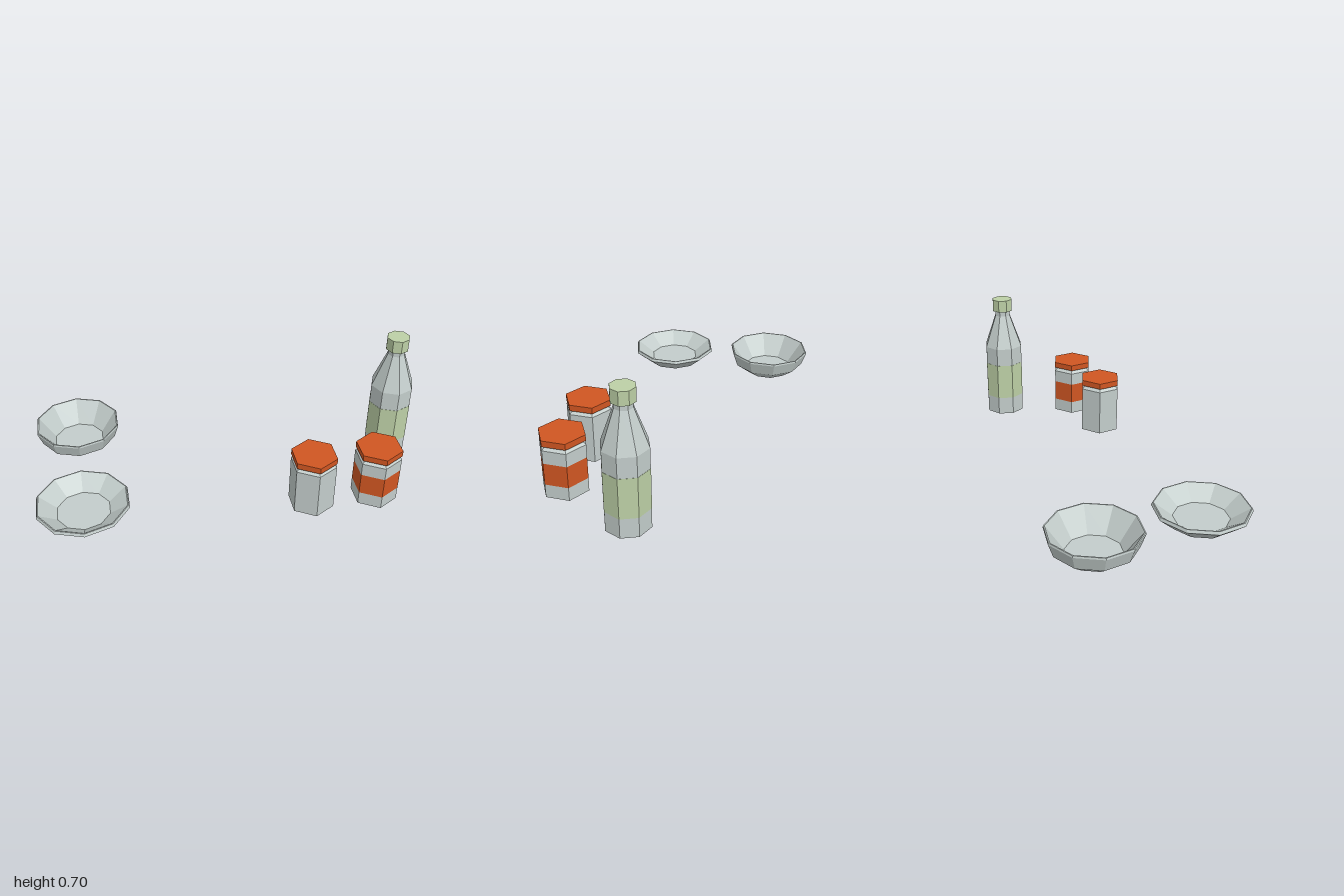
import * as THREE from 'three';

const material = (name, color) => {
  const m = new THREE.MeshStandardMaterial({ color });
  m.name = name;
  return m;
};

// Faceted turned solid from [radius, height] points, running up the outside
function turned(profile, sides) {
  const points = profile.map(([r, y]) => new THREE.Vector2(r, y));
  const pos = new THREE.LatheGeometry(points, sides).toNonIndexed().getAttribute('position');
  const kept = [];
  const tri = new THREE.Triangle();
  for (let i = 0; i < pos.count; i += 3) {
    tri.setFromAttributeAndIndices(pos, i, i + 1, i + 2);
    if (tri.getArea() < 1e-8) continue; // collapsed triangles on the axis
    for (const p of [tri.a, tri.b, tri.c]) kept.push(p.x, p.y, p.z);
  }
  const geometry = new THREE.BufferGeometry();
  geometry.setAttribute('position', new THREE.Float32BufferAttribute(kept, 3));
  geometry.computeVertexNormals();
  return geometry;
}

export function createModel() {
  const model = new THREE.Group();
  model.name = 'tableware';
  const grey = material('pale grey glass', 0xc3cdcb);
  const green = material('soft green', 0xbdd0a6);
  const orange = material('burnt orange', 0xd05622);

  const group = (name, x, z) => {
    const g = new THREE.Group();
    g.name = name;
    g.position.set(x, 0, z);
    model.add(g);
    return g;
  };
  const part = (parent, name, mat, sides, profile) => {
    const mesh = new THREE.Mesh(turned(profile, sides), mat);
    mesh.name = name;
    parent.add(mesh);
  };

  // Bottle: base, label band, tapering neck and cap
  const bottle = group('bottle', 0.886, 0.035);
  part(bottle, 'bottleBase', grey, 8, [[0, 0.007], [0.112, 0.007], [0.112, 0.11]]);
  part(bottle, 'bottleLabel', green, 8, [[0.112, 0.11], [0.113, 0.11], [0.113, 0.317], [0.112, 0.317]]);
  part(bottle, 'bottleNeck', grey, 8, [[0.112, 0.317], [0.112, 0.42], [0.045, 0.606], [0.045, 0.636]]);
  part(bottle, 'bottleCap', green, 8, [[0, 0.635], [0.059, 0.635], [0.059, 0.703], [0, 0.703]]);

  // Jars: one plain, one with a label band
  const R = 0.117;
  const jar = (name, x, labelled) => {
    const g = group(name, x, 0.407);
    const shoulder = [[R, 0.262], [0.091, 0.284]];
    if (labelled) {
      part(g, 'jarBase', grey, 6, [[0, 0.007], [R, 0.007], [R, 0.078]]);
      part(g, 'jarLabel', orange, 6, [[R, 0.078], [R, 0.193]]);
      part(g, 'jarTop', grey, 6, [[R, 0.193], ...shoulder]);
    } else {
      part(g, 'jarBody', grey, 6, [[0, 0.007], [R, 0.007], ...shoulder]);
    }
    part(g, 'jarLid', orange, 6, [[0, 0.283], [R, 0.283], [R, 0.315], [0, 0.315]]);
  };
  jar('plainJar', 0.37, false);
  jar('labelledJar', 0.702, true);

  // Deep bowl at the back, shallow dish in front
  part(group('deepBowl', -0.77, -0.303), 'bowl', grey, 10, [
    [0, 0], [0.128, 0], [0.203, 0.057], [0.228, 0.127], [0.226, 0.136],
    [0.22, 0.136], [0.134, 0.02], [0, 0.02],
  ]);
  part(group('shallowDish', -0.77, 0.288), 'dish', grey, 10, [
    [0, 0], [0.157, 0], [0.24, 0.07], [0.234, 0.085],
    [0.229, 0.085], [0.137, 0.02], [0, 0.02],
  ]);

  return model;
}
